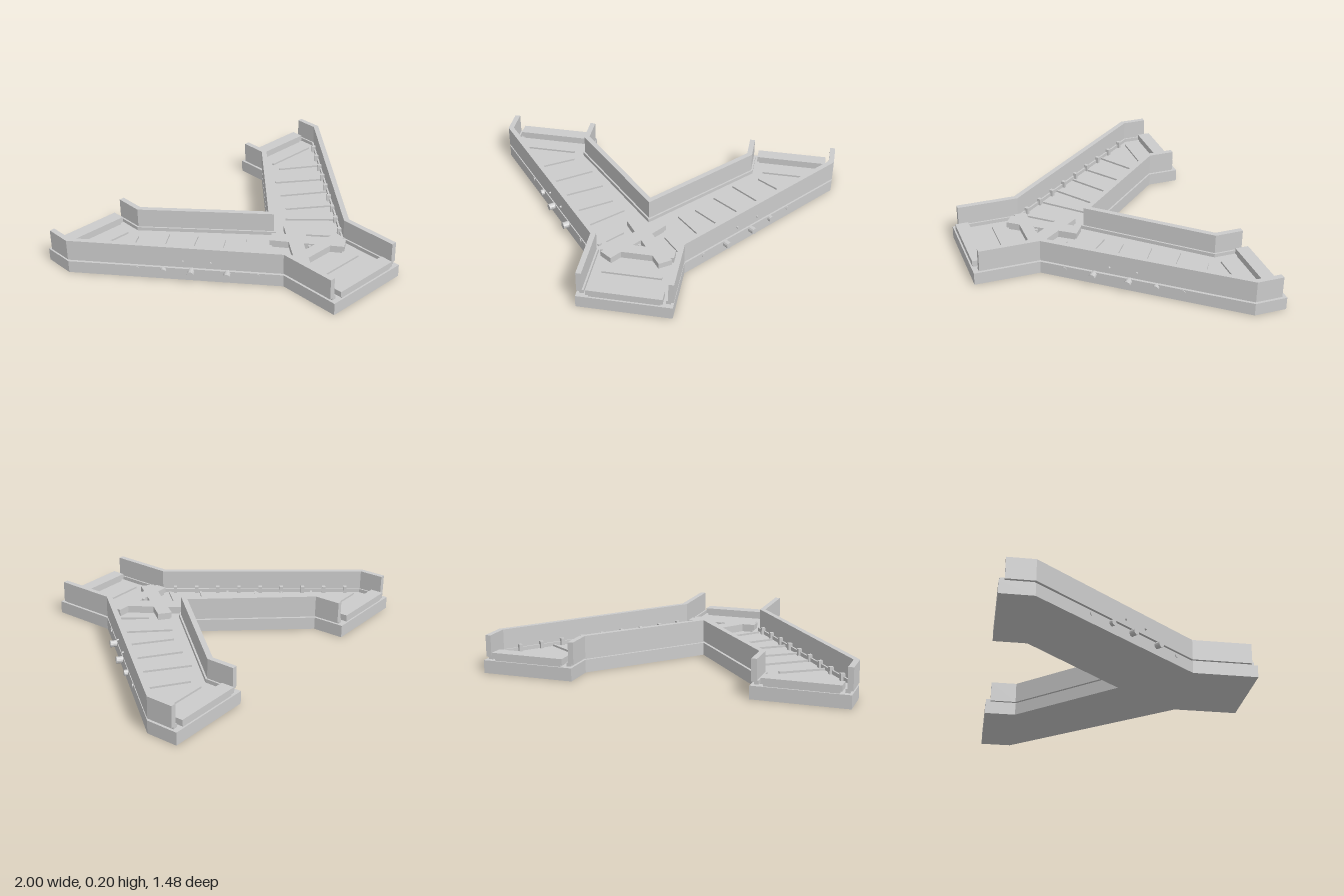
import * as THREE from 'three';

const material = new THREE.MeshStandardMaterial({ color: 0xcccccc, flatShading: true, side: THREE.DoubleSide });

// Half outlines in [x, z], wall side first; the floor lies to the +x side of each path.
const outerLeft = [[-1, -0.71], [-1, -0.56], [-0.26, 0.37], [-0.26, 0.71]];
const outerRight = outerLeft.map(([x, z]) => [-x, z]).reverse();
const innerV = [[0.485, -0.71], [0.485, -0.56], [0, -0.01], [-0.485, -0.56], [-0.485, -0.71]];

function addMesh(group, name, geometry) {
  const mesh = new THREE.Mesh(geometry, material);
  mesh.name = name;
  group.add(mesh);
  return mesh;
}

// Upright prism over an [x, z] outline
function prism(points, y0, y1) {
  const shape = new THREE.Shape(points.map(([x, z]) => new THREE.Vector2(x, -z)));
  const g = new THREE.ExtrudeGeometry(shape, { depth: y1 - y0, bevelEnabled: false });
  return g.rotateX(-Math.PI / 2).translate(0, y0, 0);
}

// Mitred parallel of a path
function offset(path, d) {
  const normal = (a, b) => {
    const l = Math.hypot(b[0] - a[0], b[1] - a[1]);
    return [(b[1] - a[1]) / l, -(b[0] - a[0]) / l];
  };
  return path.map((p, i) => {
    const n1 = normal(path[Math.max(i - 1, 0)], path[Math.max(i, 1)]);
    const last = path.length - 1;
    const n2 = normal(path[Math.min(i, last - 1)], path[Math.min(i + 1, last)]);
    const k = d / (1 + n1[0] * n2[0] + n1[1] * n2[1]);
    return [p[0] + (n1[0] + n2[0]) * k, p[1] + (n1[1] + n2[1]) * k];
  });
}

const strip = (path, d0, d1, y0, y1) =>
  prism([...offset(path, d0), ...offset(path, d1).reverse()], y0, y1);

// Box laid between two floor points
function bar(group, name, [x0, z0], [x1, z1], width, y0, y1) {
  const g = new THREE.BoxGeometry(Math.hypot(x1 - x0, z1 - z0), y1 - y0, width);
  const mesh = addMesh(group, name, g);
  mesh.position.set((x0 + x1) / 2, (y0 + y1) / 2, (z0 + z1) / 2);
  mesh.rotation.y = -Math.atan2(z1 - z0, x1 - x0);
  return mesh;
}

// Connector bar: narrower foot under a wider cap
function connector(group, name, a, b, width) {
  const t = 0.03;
  const lerp = (p, q) => [p[0] + (q[0] - p[0]) * t, p[1] + (q[1] - p[1]) * t];
  bar(group, name + 'Foot', lerp(a, b), lerp(b, a), width - 0.01, 0.07, 0.105);
  bar(group, name + 'Cap', a, b, width, 0.083, 0.115);
}

export function createModel() {
  const model = new THREE.Group();
  model.name = 'forkedCorridor';

  // Solid Y-shaped base with the floor on top
  const ends = (path) => path.map(([x, z]) => [x, Math.abs(z) === 0.71 ? Math.sign(z) * 0.74 : z]);
  addMesh(model, 'base', prism([...ends(outerLeft), ...ends(outerRight), ...ends(innerV)], 0, 0.071));

  // Walls with a recessed kerb below them
  for (const [name, path] of [['leftWall', outerLeft], ['rightWall', outerRight], ['innerWall', innerV]]) {
    addMesh(model, name, strip(path, 0, 0.03, 0.083, 0.203));
    addMesh(model, name + 'Kerb', strip(path, 0.015, 0.04, 0.07, 0.092));
  }

  // Front ribs and connectors
  bar(model, 'frontRib', [-0.165, 0.525], [0.165, 0.525], 0.012, 0.07, 0.082);
  connector(model, 'frontConnector', [-0.205, 0.697], [0.205, 0.697], 0.075);
  connector(model, 'junctionConnector', [-0.205, 0.355], [0.205, 0.355], 0.07);

  const ribs = [
    [[-0.91, -0.56], [-0.585, -0.56]],
    [[-0.78, -0.345], [-0.57, -0.485]],
    [[-0.66, -0.21], [-0.43, -0.38]],
    [[-0.565, -0.085], [-0.335, -0.245]],
    [[-0.47, 0.055], [-0.245, -0.11]],
    [[-0.355, 0.17], [-0.16, -0.03]],
    [[-0.235, 0.31], [-0.12, 0.175]],
  ];

  for (const side of [1, -1]) {
    const arm = new THREE.Group();
    arm.name = side === 1 ? 'rightArm' : 'leftArm';
    model.add(arm);
    const m = ([x, z]) => [x * side, z];

    // Floor ribs
    for (const [a, b] of ribs) bar(arm, 'floorRib', m(a), m(b), 0.012, 0.07, 0.082);

    // End connector and the diagonal one at the junction
    connector(arm, 'endConnector', m([-0.95, -0.698]), m([-0.54, -0.698]), 0.075);
    connector(arm, 'diagonalConnector', m([-0.165, 0.43]), m([0.08, 0.09]), 0.08);

    // Points on the slanted outer face, and its outward direction
    const face = (z) => [-0.26 - (0.37 - z) * 0.74 / 0.93, z];
    const out = new THREE.Vector3(-0.93 * side, 0, 0.74).normalize();
    const stub = (name, z, y, radius, reach) => {
      const peg = addMesh(arm, name, new THREE.CylinderGeometry(radius, radius, reach * 2, 12));
      const [x, pz] = m(face(z));
      peg.position.set(x, y, pz);
      peg.quaternion.setFromUnitVectors(new THREE.Vector3(0, 1, 0), out);
    };

    // Pipe stubs on the base and small bolts on the wall
    for (const [z, r, reach] of [[0.26, 0.012, 0.004], [0.13, 0.019, 0.035], [-0.025, 0.019, 0.035],
      [-0.145, 0.017, 0.02], [-0.26, 0.012, 0.004]]) stub('pipeStub', z, 0.055, r, reach);
    for (const z of [0.06, -0.06]) stub('wallBolt', z, 0.12, 0.006, 0.01);

    // Short posts along the inside of the outer wall
    for (let i = 0; i < 9; i++) {
      const z = -0.48 + i * 0.1;
      const [x] = face(z);
      bar(arm, 'wallPost', m([x + 0.024, z - 0.019]), m([x + 0.042, z - 0.033]), 0.02, 0.07, 0.11);
    }
  }

  // Small pin at the junction
  const pin = addMesh(model, 'junctionPin', new THREE.CylinderGeometry(0.009, 0.009, 0.05, 10));
  pin.position.set(0, 0.093, 0.315);
  return model;
}
